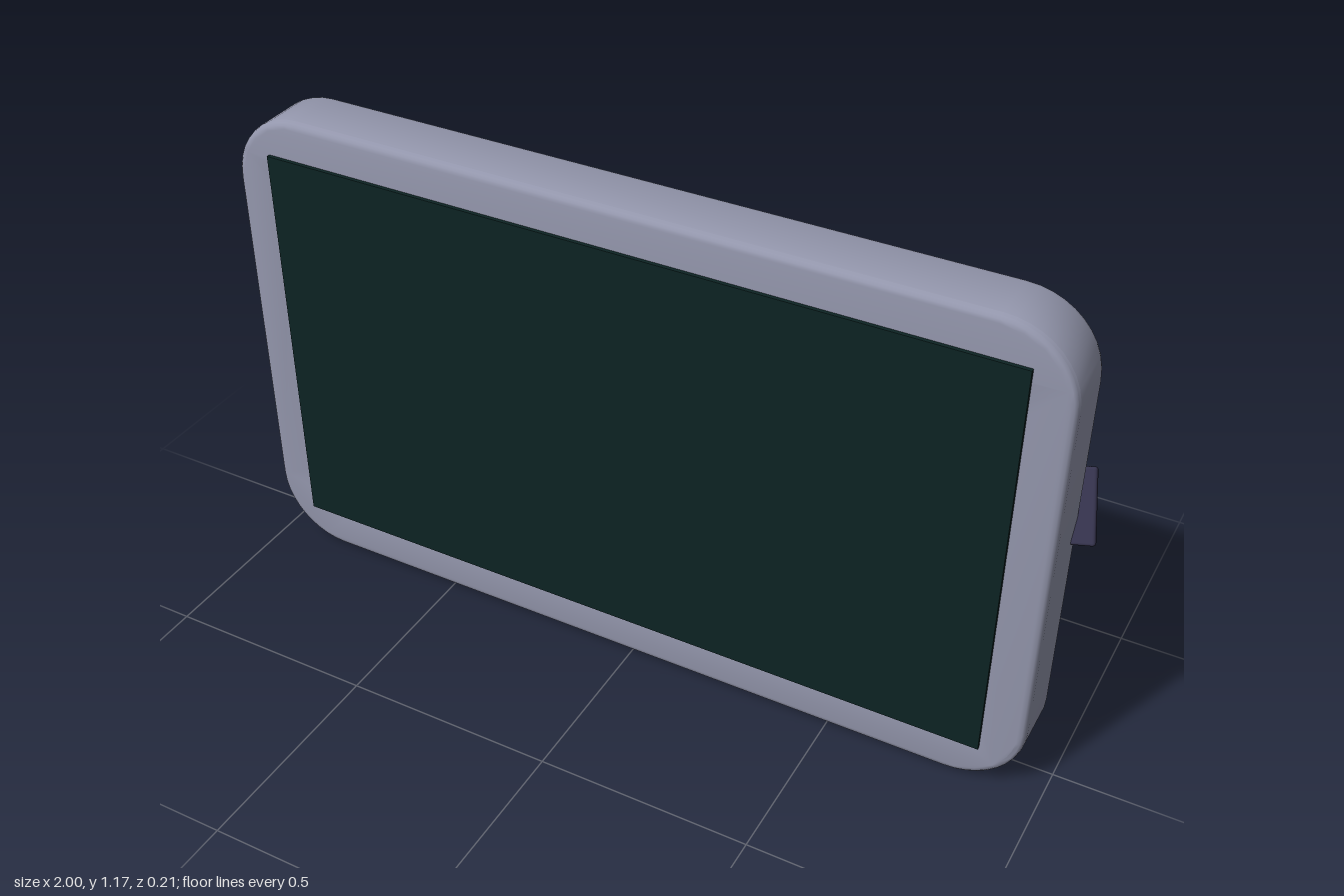
import * as THREE from 'three';
import { toCreasedNormals } from 'three/addons/utils/BufferGeometryUtils.js';
import { RoundedBoxGeometry } from 'three/addons/geometries/RoundedBoxGeometry.js';

const material = (name, color) => {
  const m = new THREE.MeshStandardMaterial({ color });
  m.name = name;
  return m;
};

// Rounded rectangle centred on the origin, for both outlines and holes
function roundedRect(path, w, h, r) {
  const x = w / 2, y = h / 2;
  path.moveTo(-x + r, -y);
  path.lineTo(x - r, -y);
  path.absarc(x - r, -y + r, r, -Math.PI / 2, 0, false);
  path.lineTo(x, y - r);
  path.absarc(x - r, y - r, r, 0, Math.PI / 2, false);
  path.lineTo(-x + r, y);
  path.absarc(-x + r, y - r, r, Math.PI / 2, Math.PI, false);
  path.lineTo(-x, -y + r);
  path.absarc(-x + r, -y + r, r, Math.PI, Math.PI * 1.5, false);
  return path;
}

export function createModel() {
  const metal = material('greyMetal', 0x9497ad);
  const slatPaint = material('darkSlat', 0x34324c);
  const dark = material('darkBacking', 0x0d2424);
  const gold = material('eyeGold', 0xd9ae35);
  const steel = material('screwSteel', 0xcfcfcc);

  const root = new THREE.Group();
  root.name = 'ventGrille';
  const add = (name, geometry, mat, x, y, z) => {
    const mesh = new THREE.Mesh(geometry, mat);
    mesh.name = name;
    mesh.position.set(x, y, z);
    root.add(mesh);
    return mesh;
  };
  const cx = -0.025, cy = 0.586;

  // Frame with bevelled outer and inner edges
  const outline = roundedRect(new THREE.Shape(), 1.95, 1.172, 0.17);
  outline.holes.push(roundedRect(new THREE.Path(), 1.67, 0.88, 0.09));
  const bevel = 0.016;
  const frameGeo = new THREE.ExtrudeGeometry(outline, {
    depth: 0.154 - bevel * 2, curveSegments: 5,
    bevelSize: bevel, bevelThickness: bevel, bevelOffset: -bevel, bevelSegments: 3,
  });
  add('frame', toCreasedNormals(frameGeo, 0.6), metal, cx, cy, -0.058 + bevel);

  // Dark panel closing the front
  add('frontPanel', new THREE.BoxGeometry(1.76, 0.98, 0.012), dark, cx, 0.59, 0.099);

  // Tilted slats, with the middle one missing from its slot
  const slatGeo = new RoundedBoxGeometry(1.68, 0.16, 0.016, 2, 0.006);
  for (const i of [-2, -1, 1, 2]) {
    add('slat', slatGeo, slatPaint, cx, cy + i * 0.167, -0.01).rotation.x = -0.5;
  }

  // Loose slat hanging askew across the back
  const loose = add('looseSlat', slatGeo, slatPaint, 0.173, 0.464, -0.06);
  loose.rotation.set(-0.5, 0, 0.28, 'ZYX');

  // Corner screws on the back
  const screwGeo = new THREE.CylinderGeometry(0.034, 0.034, 0.04, 16);
  for (const sx of [-1, 1]) {
    for (const sy of [-1, 1]) {
      add('screw', screwGeo, steel, cx + sx * 0.86, 0.59 + sy * 0.47, -0.06).rotation.x = Math.PI / 2;
    }
  }

  // Pair of eyes peering out of the gap
  const eyeGeo = new THREE.SphereGeometry(0.066, 24, 16);
  const pupilGeo = new THREE.SphereGeometry(0.028, 16, 12);
  for (const x of [-0.143, -0.378]) {
    add('eye', eyeGeo, gold, x, 0.598, -0.005).scale.z = 0.55;
    add('pupil', pupilGeo, dark, x + 0.01, 0.595, -0.034);
  }

  return root;
}
